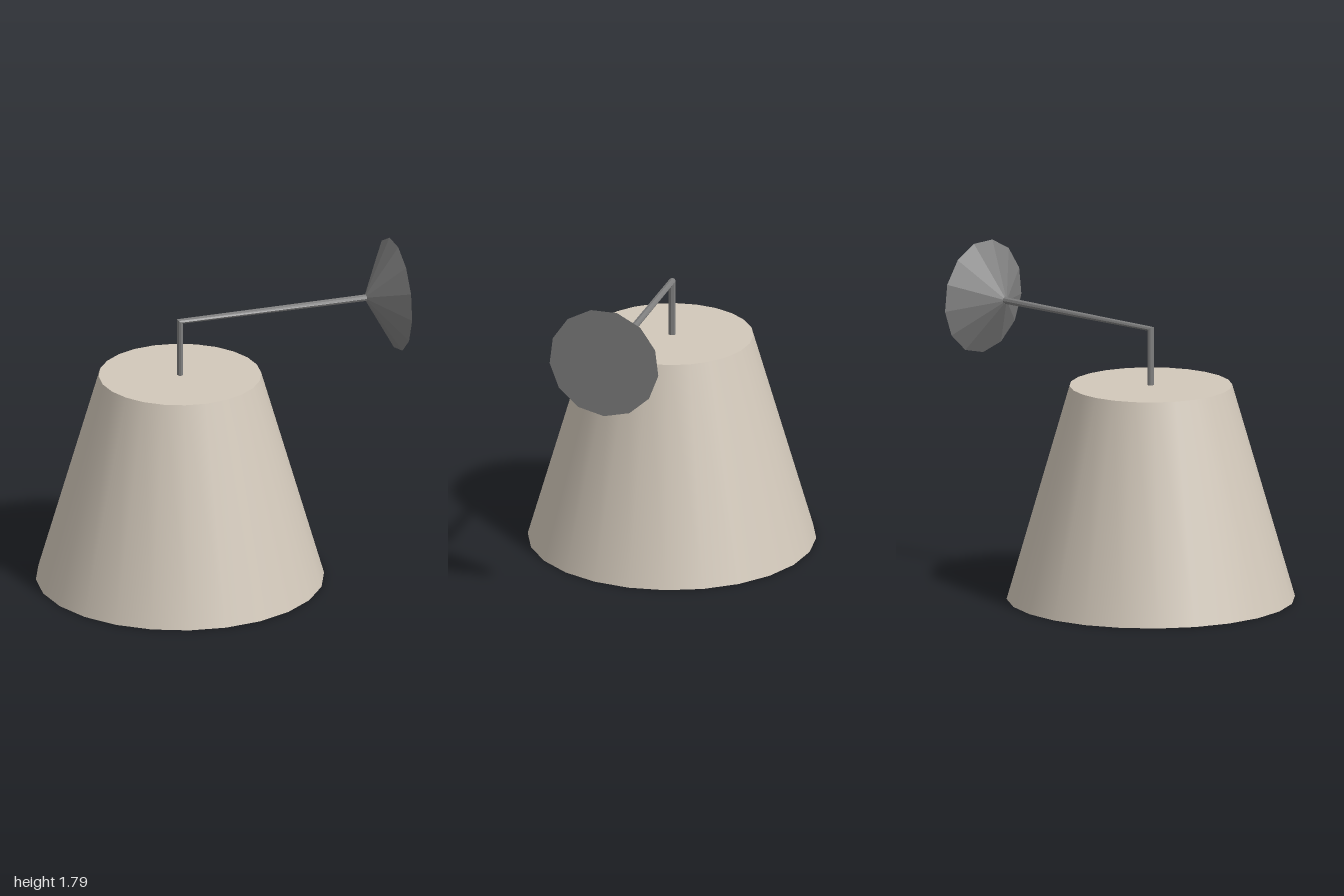
import * as THREE from 'three';

const beige = new THREE.MeshStandardMaterial({ color: 0xd2c8ba });
beige.name = 'beige fabric';
const grey = new THREE.MeshStandardMaterial({ color: 0x7e7e7e });
grey.name = 'grey metal';

const AXIS_X = -0.22; // centre line of the shade
const TOP = 1.175;

// Faceted copy of a geometry
function faceted(geometry) {
  const flat = geometry.index ? geometry.toNonIndexed() : geometry;
  flat.computeVertexNormals();
  return flat;
}

function lathe(points) {
  return new THREE.LatheGeometry(points.map(([r, y]) => new THREE.Vector2(r, y)), 24);
}

function add(group, name, geometry, material) {
  const mesh = new THREE.Mesh(geometry, material);
  mesh.name = name;
  group.add(mesh);
  return mesh;
}

export function createModel() {
  const model = new THREE.Group();
  model.name = 'wallLamp';

  // Thick tapered shade, open underneath
  const shade = new THREE.Group();
  shade.name = 'shade';
  shade.position.x = AXIS_X;
  add(shade, 'shadeOuterWall', lathe([[0.78, 0], [0.44, TOP]]), beige);
  add(shade, 'shadeTop', faceted(lathe([[0.44, TOP], [0, TOP]])), beige);
  add(shade, 'shadeInside', faceted(lathe([[0, 1.08], [0.37, 1.08], [0.685, 0], [0.78, 0]])), beige);
  model.add(shade);

  // Bent rod: a post that mitres into an arm, thicker towards the wall
  const rod = new THREE.CylinderGeometry(1, 1, 1, 8, 2, true);
  const p = rod.attributes.position;
  for (let i = 0; i < p.count; i++) {
    const a = p.getX(i), along = p.getY(i), z = p.getZ(i) * 0.02;
    const x = AXIS_X + a * 0.016;
    if (along < -0.1) p.setXYZ(i, x, TOP - 0.01, z);
    else if (along < 0.1) p.setXYZ(i, x, 1.485 - a * 0.013, z);
    else p.setXYZ(i, 0.85, 1.485 - a * 0.019, z);
  }
  add(model, 'bentRod', faceted(rod), grey);

  // Conical wall plate with thirteen sides
  const plate = new THREE.CylinderGeometry(0.31, 0.02, 0.16, 13, 1, false, Math.PI / 2);
  plate.rotateZ(-Math.PI / 2);
  add(model, 'wallPlate', faceted(plate), grey).position.set(0.92, 1.485, 0);

  return model;
}
